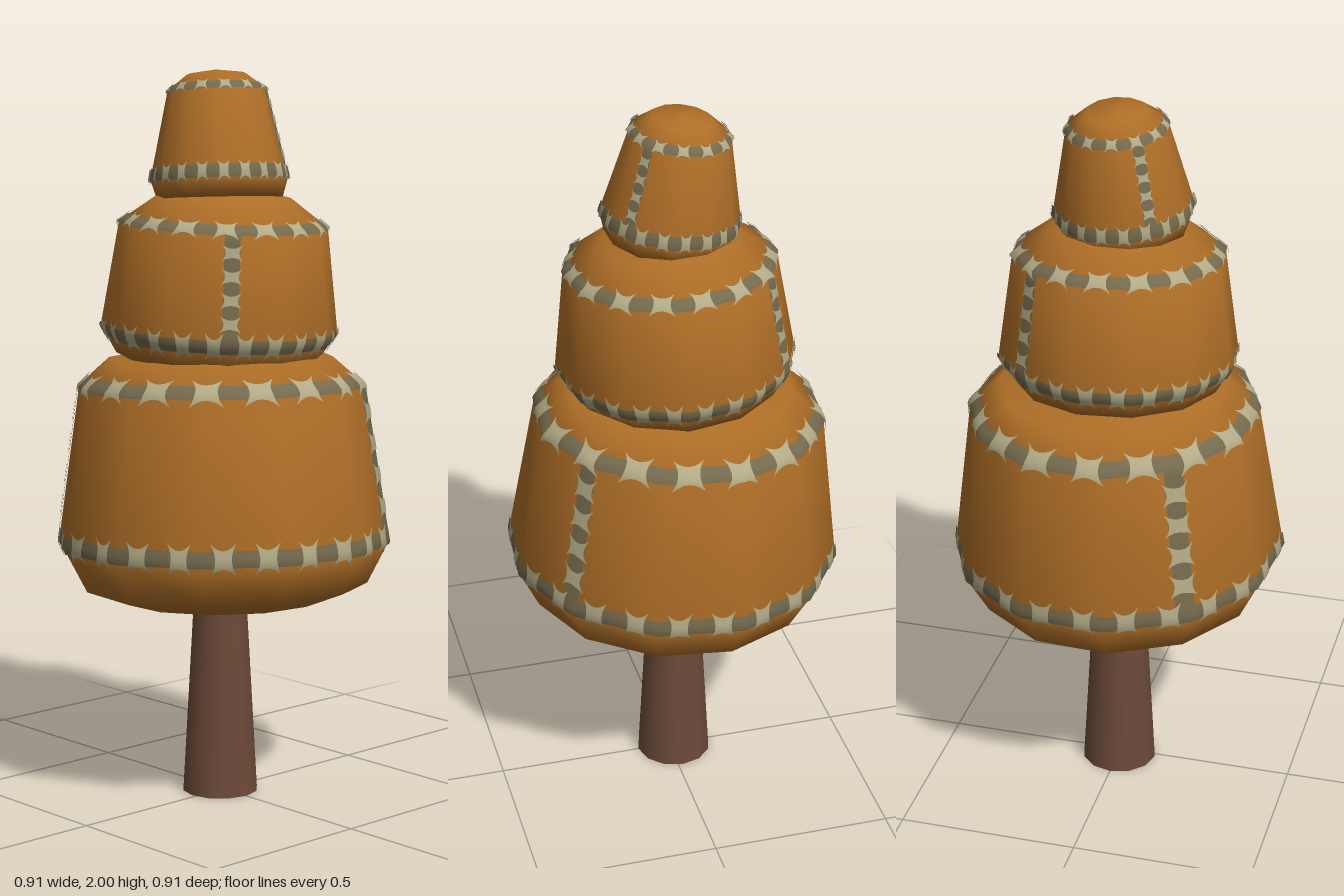
import * as THREE from 'three';
import { mergeGeometries } from 'three/addons/utils/BufferGeometryUtils.js';

const SIDES = 12;
const rad = THREE.MathUtils.degToRad;

const material = (name, color) => {
  const m = new THREE.MeshStandardMaterial({ color });
  m.name = name;
  return m;
};

// Point on a profile at arc length s measured from its first point
function along(profile, s) {
  for (let i = 0; i < profile.length - 1; i++) {
    const [r0, y0] = profile[i], [r1, y1] = profile[i + 1];
    const len = Math.hypot(r1 - r0, y1 - y0);
    if (s <= len || i === profile.length - 2) {
      const t = s / len;
      return [r0 + (r1 - r0) * t, y0 + (y1 - y0) * t];
    }
    s -= len;
  }
}

// Arc length at profile point i
function lengthTo(profile, i) {
  let s = 0;
  for (let k = 1; k <= i; k++)
    s += Math.hypot(profile[k][0] - profile[k - 1][0], profile[k][1] - profile[k - 1][1]);
  return s;
}

// Thin patch lying on a tier; map(u, v) gives [angle, arc length] for u, v in -1..1
function patch(tier, lift, nu, nv, map) {
  const pos = [], nor = [], idx = [];
  const step = (2 * Math.PI) / SIDES;
  for (let j = 0; j <= nv; j++) for (let i = 0; i <= nu; i++) {
    const [phi, s] = map((2 * i) / nu - 1, (2 * j) / nv - 1);
    const [r, y] = along(tier.profile, s);
    const a = along(tier.profile, s - 0.02), b = along(tier.profile, s + 0.02);
    const d = Math.hypot(b[0] - a[0], b[1] - a[1]);
    const nr = (b[1] - a[1]) / d, ny = (a[0] - b[0]) / d;
    // follow the flat facets of the polygonal tier
    const local = THREE.MathUtils.euclideanModulo(phi - tier.turn, step) - step / 2;
    const facet = Math.cos(step / 2) / Math.cos(local);
    const R = r * facet + nr * lift;
    pos.push(R * Math.sin(phi), y + ny * lift, R * Math.cos(phi));
    nor.push(nr * Math.sin(phi), ny, nr * Math.cos(phi));
    if (i < nu && j < nv) {
      const k = j * (nu + 1) + i, up = k + nu + 1;
      idx.push(k, k + 1, up, k + 1, up + 1, up);
    }
  }
  const g = new THREE.BufferGeometry();
  g.setAttribute('position', new THREE.Float32BufferAttribute(pos, 3));
  g.setAttribute('normal', new THREE.Float32BufferAttribute(nor, 3));
  g.setIndex(idx);
  return g;
}

// Bone-shaped stitch, pinched in the middle of each side
const stitch = (tier, phi, s, halfWidth, halfHeight) => {
  const r = along(tier.profile, s)[0];
  return patch(tier, 0.007, 6, 6, (u, v) => [
    phi + (u * halfWidth * (0.65 + 0.35 * v * v)) / r,
    s + v * halfHeight * (0.55 + 0.45 * u * u),
  ]);
};

// Profiles run from the underside to the top, as [radius, height above the tier base]
const TIERS = [
  {
    name: 'lowerFoliage', base: [0, 0.55, 0], tilt: [-0.02, 0.04], turn: rad(10),
    profile: [[0, 0], [0.28, 0], [0.4, 0.045], [0.46, 0.16], [0.395, 0.595], [0.31, 0.67], [0, 0.7]],
    low: { at: 3, shift: 0.015, count: 24, half: 0.022, size: [0.034, 0.042] },
    high: { at: 4, shift: 0.012, count: 17, half: 0.022, size: [0.045, 0.042] },
    seamAngle: rad(128), seamHalf: 0.026, seamStitches: 4, seamSize: [0.038, 0.034],
  },
  {
    name: 'middleFoliage', base: [-0.02, 1.225, 0], tilt: [-0.01, -0.05], turn: rad(-8),
    profile: [[0, 0], [0.28, 0], [0.325, 0.075], [0.285, 0.36], [0.18, 0.437], [0, 0.47]],
    low: { at: 2, shift: -0.01, count: 24, half: 0.02, size: [0.025, 0.04] },
    high: { at: 3, shift: 0.014, count: 16, half: 0.018, size: [0.034, 0.03] },
    seamAngle: rad(52), seamHalf: 0.021, seamStitches: 4, seamSize: [0.028, 0.022],
  },
  {
    name: 'topFoliage', base: [0, 1.65, 0.012], tilt: [-0.05, 0.1], turn: rad(-12),
    profile: [[0, 0], [0.17, 0.005], [0.187, 0.06], [0.133, 0.298], [0.08, 0.34], [0, 0.352]],
    low: { at: 2, shift: 0.01, count: 20, half: 0.018, size: [0.017, 0.028] },
    high: { at: 3, shift: 0.004, count: 13, half: 0.013, size: [0.018, 0.018] },
    seamAngle: rad(128), seamHalf: 0.015, seamStitches: 4, seamSize: [0.019, 0.016],
  },
];

function buildTier(tier, mats) {
  const group = new THREE.Group();
  group.name = tier.name;
  const { profile, turn } = tier;
  const cloth = new THREE.LatheGeometry(profile.map(([r, y]) => new THREE.Vector2(r, y)), SIDES, turn);
  const bands = [], stitches = [];

  // Seams running round the lower and upper rims
  const centres = [tier.low, tier.high].map((ring) => {
    const s = lengthTo(profile, ring.at) + ring.shift;
    bands.push(patch(tier, 0.004, 72, 6, (u, v) => [turn + Math.PI * (u + 1), s + v * ring.half]));
    for (let i = 0; i < ring.count; i++)
      stitches.push(stitch(tier, turn + ((i + 0.5) / ring.count) * 2 * Math.PI, s, ...ring.size));
    return s;
  });

  // Two opposite seams joining the rims
  const [s0, s1] = centres;
  for (const phi of [tier.seamAngle, tier.seamAngle + Math.PI]) {
    bands.push(patch(tier, 0.004, 8, 24, (u, v) => {
      const s = s0 + ((s1 - s0) * (v + 1)) / 2;
      return [phi + (u * tier.seamHalf) / along(profile, s)[0], s];
    }));
    for (let i = 1; i <= tier.seamStitches; i++)
      stitches.push(stitch(tier, phi, s0 + ((s1 - s0) * i) / (tier.seamStitches + 1), ...tier.seamSize));
  }

  const add = (name, geometry, mat) => {
    const mesh = new THREE.Mesh(geometry, mat);
    mesh.name = name;
    group.add(mesh);
  };
  add('cloth', cloth, mats.cloth);
  add('seams', mergeGeometries(bands), mats.seam);
  add('stitches', mergeGeometries(stitches), mats.thread);
  group.position.set(...tier.base);
  group.rotation.set(tier.tilt[0], 0, tier.tilt[1]);
  return group;
}

export function createModel() {
  const mats = {
    cloth: material('orange cloth', 0xae6e27),
    seam: material('dark seam', 0x746a4e),
    thread: material('pale thread', 0xb2aa86),
    bark: material('brown bark', 0x6c4a38),
  };
  const model = new THREE.Group();
  model.name = 'stitchedTree';

  // Tapered trunk reaching into the lowest tier
  const trunk = new THREE.Mesh(new THREE.CylinderGeometry(0.073, 0.106, 0.58, 12), mats.bark);
  trunk.name = 'trunk';
  trunk.position.set(-0.013, 0.29, 0);
  model.add(trunk);

  for (const tier of TIERS) model.add(buildTier(tier, mats));
  return model;
}
